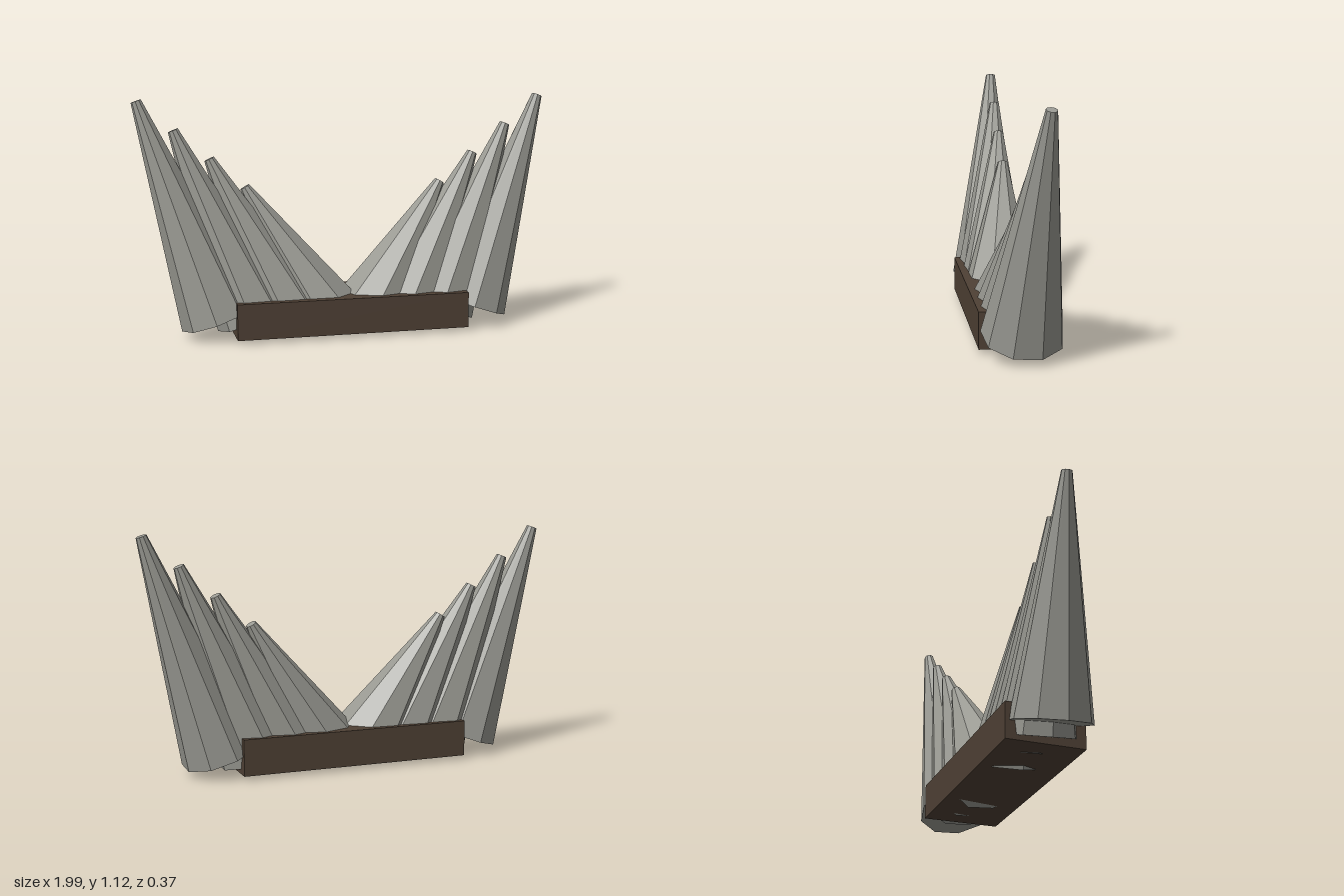
import * as THREE from 'three';

const stone = new THREE.MeshStandardMaterial({ name: 'stone grey', color: 0x9a9a93, flatShading: true });
const wood = new THREE.MeshStandardMaterial({ name: 'dark brown', color: 0x4f4135, flatShading: true });

const BASE_RADIUS = 0.185;
const TIP_RADIUS = 0.025;
const SIDES = 9;
const UP = new THREE.Vector3(0, 1, 0);

// Tapered nine-sided spike running from the foot centre to the tip centre
function makeSpike(foot, tip, name) {
  const axis = tip.clone().sub(foot);
  const geometry = new THREE.CylinderGeometry(
    TIP_RADIUS, BASE_RADIUS, axis.length(), SIDES, 1, false, -Math.PI / 2);
  const spike = new THREE.Mesh(geometry, stone);
  spike.name = name;
  spike.position.copy(foot).add(tip).multiplyScalar(0.5);
  spike.quaternion.setFromUnitVectors(UP, axis.normalize());
  return spike;
}

export function createModel() {
  const model = new THREE.Group();
  model.name = 'spikedBarrier';

  // Base block
  const base = new THREE.Mesh(new THREE.BoxGeometry(1.11, 0.17, 0.37), wood);
  base.name = 'baseBlock';
  base.position.set(0, 0.11, 0);
  model.add(base);

  // Two fans of four spikes, growing taller outwards
  for (const [side, label] of [[1, 'left'], [-1, 'right']]) {
    const fan = new THREE.Group();
    fan.name = `${label}Spikes`;
    for (let i = 0; i < 4; i++) {
      const footX = 0.122 + 0.165 * i;
      const foot = new THREE.Vector3(side * footX, 0.099, 0);
      const tip = new THREE.Vector3(side * (footX + 0.356), 0.703 + 0.137 * i, -0.06);
      fan.add(makeSpike(foot, tip, `${label}Spike${i + 1}`));
    }
    model.add(fan);
  }
  return model;
}
